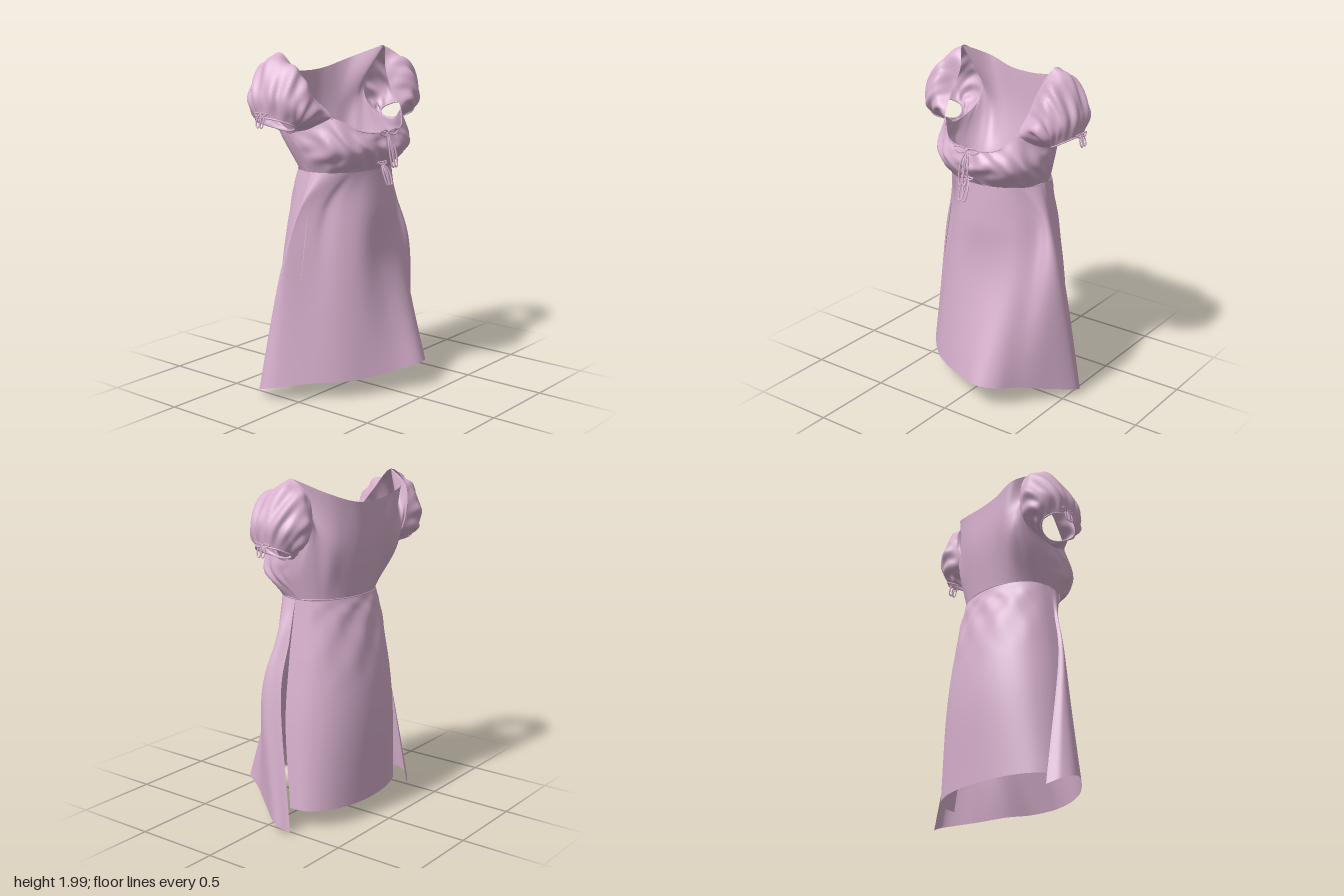
import * as THREE from 'three';

const V = (p) => new THREE.Vector3(...p);
const clamp = (t) => Math.min(1, Math.max(0, t));
const TAU = Math.PI * 2;

// Mirror to the right side; the torso is turned, so the right shoulder sits further back
// and its front armhole edge further out
const mirror = ([x, y, z]) => {
  const k = clamp((y - 1.32) / 0.3) * clamp(x / 0.33) ** 2;
  const out = 0.05 * clamp((z + 0.1) / 0.15) * clamp((y - 1.55) / 0.2) * clamp((0.4 - x) / 0.1) * clamp(x / 0.25);
  return [-x * 1.03 - out - 0.015 * clamp((y - 1.9) / 0.08), y - 0.01 * k, z - k * (0.15 - 0.06 * clamp(z / 0.15))];
};

// Smooth surface through rows of matching control points
function loft(rows, closed, nu, nv, fold) {
  const curves = rows.map((r) => new THREE.CatmullRomCurve3(r.map(V), closed, 'catmullrom', 0.5));
  const cols = closed ? nu : nu + 1;
  const pos = [], idx = [];
  for (let i = 0; i < cols; i++) {
    const u = i / nu;
    const line = new THREE.CatmullRomCurve3(curves.map((c) => c.getPoint(u)), false, 'catmullrom', 0.5);
    for (let j = 0; j <= nv; j++) {
      const p = line.getPoint(j / nv);
      fold(p, u, j / nv);
      pos.push(p.x, p.y, p.z);
    }
  }
  for (let i = 0; i < nu; i++) {
    for (let j = 0; j < nv; j++) {
      const a = i * (nv + 1) + j, b = ((i + 1) % cols) * (nv + 1) + j;
      idx.push(a, b, a + 1, b, b + 1, a + 1);
    }
  }
  const g = new THREE.BufferGeometry();
  g.setAttribute('position', new THREE.Float32BufferAttribute(pos, 3));
  g.setIndex(idx);
  g.computeVertexNormals();
  return g;
}

// Push a point outwards from a centre
function push(p, cx, cy, cz, d) {
  const n = new THREE.Vector3(p.x - cx, p.y - cy, p.z - cz).normalize();
  p.addScaledVector(n, d);
}

const cord = (pts, r, closed = false) =>
  new THREE.TubeGeometry(new THREE.CatmullRomCurve3(pts.map(V), closed), closed ? 64 : 24, r, 6, closed);

export function createModel() {
  const dress = new THREE.Group();
  dress.name = 'dress';
  const cloth = new THREE.MeshStandardMaterial({ color: 0xd8b1ce, side: THREE.DoubleSide });
  cloth.name = 'pink cloth';
  const add = (geo, name, parent = dress) => {
    const m = new THREE.Mesh(geo, cloth);
    m.name = name;
    parent.add(m);
    return m;
  };

  // Waist ellipse, 0 degrees at the front, growing towards +x
  const waist = (deg, y = 1.32) => {
    const a = deg * Math.PI / 180;
    return [0.31 * Math.sin(a), y, -0.055 + 0.235 * Math.cos(a)];
  };

  // Bodice: waist, bust line and neckline with armholes
  const low = [0, 30, 60, 90, 105, 115, 125, 135, 148, 164, 180].map((d) => waist(d));
  const mid = [[0, 1.44, 0.25], [0.17, 1.45, 0.24], [0.3, 1.46, 0.16], [0.35, 1.45, 0], [0.34, 1.48, -0.1],
    [0.32, 1.54, -0.17], [0.3, 1.6, -0.21], [0.27, 1.64, -0.25], [0.2, 1.64, -0.29], [0.1, 1.62, -0.325], [0, 1.6, -0.335]];
  const top = [[0, 1.54, 0.235], [0.16, 1.555, 0.22], [0.27, 1.64, 0.14], [0.36, 1.56, 0], [0.34, 1.64, -0.15],
    [0.34, 1.77, -0.2], [0.355, 1.92, -0.18], [0.36, 2, -0.06], [0.28, 1.93, -0.24], [0.14, 1.875, -0.32], [0, 1.86, -0.34]];
  const around = (half) => [...half, ...half.slice(1, -1).reverse().map(mirror)];
  add(loft([low, mid, top].map(around), true, 200, 28, (p, u, v) => {
    const front = clamp((Math.cos(u * TAU) - 0.45) / 0.35);
    const gather = Math.sin(u * TAU * 22 + 2.5 * Math.sin(v * 6 + u * 30)) + 0.5 * Math.sin(u * TAU * 37 + v * 4);
    push(p, 0, p.y, -0.05, front * Math.sin(Math.PI * v) * (0.006 + 0.009 * gather));
  }), 'bodice');

  // Waist seam and neckline drawstring
  add(cord([...Array(24)].map((_, i) => waist(i * 15, 1.325)), 0.004, true), 'waistSeam');
  add(cord([...top.slice(0, 3).reverse(), ...top.slice(1, 3).map(mirror)], 0.004), 'necklineDrawstring');

  // Puffed sleeves: armhole, two puff rings, cuff
  const sleeve = [
    [[0.36, 2, -0.06], [0.3, 1.88, 0], [0.275, 1.76, 0.06], [0.27, 1.64, 0.14], [0.36, 1.56, 0], [0.34, 1.64, -0.15], [0.34, 1.77, -0.2], [0.355, 1.92, -0.18]],
    [[0.455, 1.945, -0.06], [0.42, 1.905, 0.075], [0.4, 1.77, 0.13], [0.36, 1.65, 0.13], [0.375, 1.56, -0.02], [0.39, 1.63, -0.17], [0.42, 1.76, -0.23], [0.43, 1.9, -0.185]],
    [[0.55, 1.78, -0.05], [0.53, 1.77, 0.055], [0.48, 1.7, 0.12], [0.42, 1.62, 0.1], [0.385, 1.56, -0.03], [0.42, 1.6, -0.15], [0.48, 1.68, -0.2], [0.53, 1.76, -0.155]],
    [[0.545, 1.65, -0.04], [0.525, 1.64, 0.04], [0.47, 1.61, 0.08], [0.41, 1.58, 0.04], [0.39, 1.565, -0.03], [0.41, 1.58, -0.11], [0.47, 1.61, -0.15], [0.525, 1.64, -0.11]],
  ];
  for (const [side, map] of [['left', (p) => p], ['right', mirror]]) {
    const rings = sleeve.map((r) => r.map(map));
    const c = map([0.42, 1.75, -0.04]);
    add(loft(rings, true, 120, 24, (p, u, v) => {
      const crease = Math.sin(u * TAU * 9 + 2.2 * Math.sin(v * 6)) + 0.6 * Math.sin(u * TAU * 14 - v * 7);
      push(p, ...c, Math.sin(Math.PI * v) * 0.008 * crease);
    }), side + 'Sleeve');
    add(cord(rings[3], 0.005, true), side + 'Cuff');
  }

  // Front skirt panel, from the right slit edge to the left slit edge
  const frontRows = [
    [...Array(13)].map((_, i) => waist(-90 + i * 15)),
    [[-0.375, -0.1], [-0.39, -0.09], [-0.37, -0.06], [-0.305, 0.015], [-0.225, 0.095], [-0.12, 0.165], [0, 0.185], [0.12, 0.175],
      [0.23, 0.14], [0.32, 0.08], [0.38, 0.03], [0.39, -0.01], [0.365, -0.06]].map(([x, z]) => [x, 1.1, z]),
    [[-0.46, -0.17], [-0.485, -0.14], [-0.46, -0.09], [-0.37, 0], [-0.27, 0.1], [-0.145, 0.175], [0, 0.195], [0.14, 0.205],
      [0.25, 0.19], [0.36, 0.14], [0.45, 0.08], [0.485, 0.015], [0.455, -0.06]].map(([x, z]) => [x, 0.75, z]),
    [[-0.49, 0.02, -0.3], [-0.56, 0.05, -0.25], [-0.575, 0.08, -0.15], [-0.45, 0.11, 0.02], [-0.31, 0.115, 0.16], [-0.16, 0.12, 0.25],
      [0, 0.14, 0.33], [0.14, 0.165, 0.395], [0.25, 0.155, 0.35], [0.33, 0.13, 0.22], [0.43, 0.09, 0.08], [0.54, 0.05, -0.08], [0.515, 0.01, -0.17]],
  ];
  add(loft(frontRows, false, 96, 40, (p, u, v) => {
    // Long soft drapes: one on the right hip, one sweeping down the left side
    const s = Math.sin(Math.PI * v);
    p.z -= 0.02 * s * Math.exp(-(((u - 0.29) / 0.03) ** 2)) * clamp(1.6 - 2 * v);
    p.z -= 0.03 * s * Math.exp(-(((u - 0.78 + 0.06 * v) / 0.05) ** 2));
    p.z += 0.008 * s * Math.sin(u * 14 + v * 3);
  }), 'frontSkirt');

  // Back skirt panel, tucked inside the front panel: y, left half width, right half width, side z, back z
  const backRows = [[1.32, 0.31, 0.31, -0.055, -0.29], [1.2, 0.325, 0.335, -0.05, -0.32], [0.95, 0.36, 0.38, -0.045, -0.365],
    [0.6, 0.4, 0.43, -0.05, -0.39], [0.115, 0.425, 0.46, -0.1, -0.37]].map(([y, left, right, side, back]) =>
    [...Array(13)].map((_, i) => {
      const a = i * Math.PI / 12, c = Math.cos(a);
      return [(c > 0 ? left : right) * c, y, side + (back - side) * Math.max(0, Math.sin(a)) ** 0.8];
    }));
  add(loft(backRows, false, 80, 40, (p, u, v) => {
    const wrinkle = Math.sin(u * 26 + v * 16) + 0.6 * Math.sin(u * 41 - v * 22);
    p.z += 0.006 * wrinkle * Math.sin(Math.PI * u) * Math.sin(Math.PI * clamp(v / 0.6));
  }), 'backSkirt');

  // Tied bows: two loops, a knot and two hanging tails
  function bow(name, at, turn, w, drop, out, r) {
    const g = new THREE.Group();
    g.name = name;
    for (const s of [-1, 1]) {
      add(cord([[0, 0, 0], [s * w * 0.5, w * 0.2, 0.01], [s * w, 0.005, 0.005], [s * w * 0.5, -w * 0.18, 0.012]], r, true), 'bowLoop', g);
      add(cord([[0, 0, 0], [s * 0.025, -drop * 0.35, out * 0.5], [s * 0.02, -drop, out], [s * 0.006, -drop, out], [s * 0.006, -drop * 0.35, out * 0.5]], r, true), 'bowTail', g);
    }
    add(new THREE.SphereGeometry(r * 2, 10, 8), 'bowKnot', g);
    g.position.set(...at);
    g.rotation.y = turn;
    dress.add(g);
  }
  bow('bustBow', [-0.005, 1.54, 0.255], 0, 0.085, 0.19, 0.05, 0.005);
  bow('waistBow', [-0.025, 1.365, 0.225], 0, 0.04, 0.12, 0.06, 0.005);
  bow('leftCuffBow', [0.555, 1.66, -0.03], Math.PI / 2, 0.05, 0.06, 0.02, 0.004);
  bow('rightCuffBow', [-0.572, 1.66, -0.19], -Math.PI / 2, 0.045, 0.07, 0.018, 0.004);

  return dress;
}
